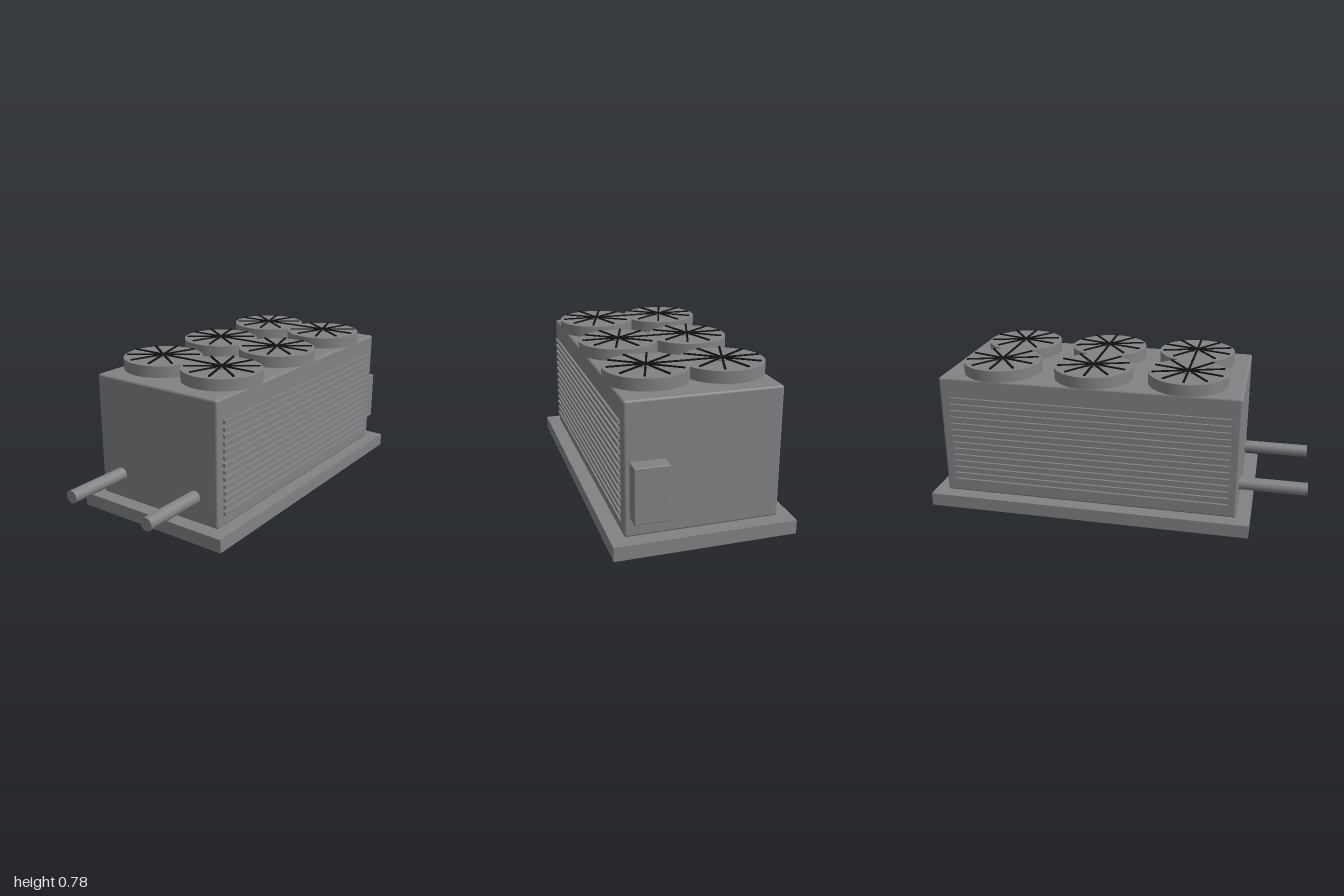
import * as THREE from 'three';
import { RoundedBoxGeometry } from 'three/addons/geometries/RoundedBoxGeometry.js';

export function createModel() {
  const model = new THREE.Group();
  model.name = 'rooftopChiller';
  const casing = new THREE.MeshStandardMaterial({ name: 'casing grey', color: 0x808284 });
  const dark = new THREE.MeshStandardMaterial({ name: 'grille black', color: 0x111111 });
  const midZ = -0.126; // shared centre of plinth, cabinet and fans

  function add(name, geometry, material, x, y, z, parent = model) {
    const mesh = new THREE.Mesh(geometry, material);
    mesh.name = name;
    mesh.position.set(x, y, z);
    parent.add(mesh);
    return mesh;
  }

  // Plinth and cabinet
  add('plinth', new THREE.BoxGeometry(0.882, 0.069, 1.702), casing, 0, 0.0345, midZ);
  add('cabinet', new RoundedBoxGeometry(0.746, 0.645, 1.562, 3, 0.012), casing, 0, 0.3915, midZ);

  // Side louvres
  const slat = new THREE.BoxGeometry(0.03, 0.017, 1.462);
  for (const side of [-1, 1]) {
    for (let i = 0; i < 14; i++) {
      add('louvreSlat', slat, casing, side * 0.37, 0.137 + i * 0.0357, midZ + 0.004);
    }
  }

  // Fans: shroud, low hub and five crossing guard bars
  const shroud = new THREE.CylinderGeometry(0.203, 0.203, 0.06, 64);
  const hub = new THREE.CylinderGeometry(0.04, 0.04, 0.006, 32);
  const bar = new THREE.BoxGeometry(0.375, 0.006, 0.01);
  for (const x of [-0.187, 0.187]) {
    for (const dz of [-0.492, 0, 0.492]) {
      const fan = new THREE.Group();
      fan.name = 'fan';
      fan.position.set(x, 0.713, midZ + dz);
      model.add(fan);
      add('fanShroud', shroud, casing, 0, 0.03, 0, fan);
      add('fanHub', hub, casing, 0, 0.063, 0, fan);
      for (let i = 0; i < 5; i++) {
        add('guardBar', bar, dark, 0, 0.068, 0, fan).rotation.y = (i * Math.PI) / 5;
      }
    }
  }

  // Water pipes at the front
  const pipe = new THREE.CylinderGeometry(0.033, 0.033, 0.4, 40);
  pipe.rotateX(Math.PI / 2);
  for (const x of [-0.239, 0.237]) add('waterPipe', pipe, casing, x, 0.205, 0.8);

  // Control box behind the cabinet
  add('controlBox', new RoundedBoxGeometry(0.165, 0.268, 0.079, 2, 0.005), casing, 0.27, 0.308, -0.9605);

  return model;
}
